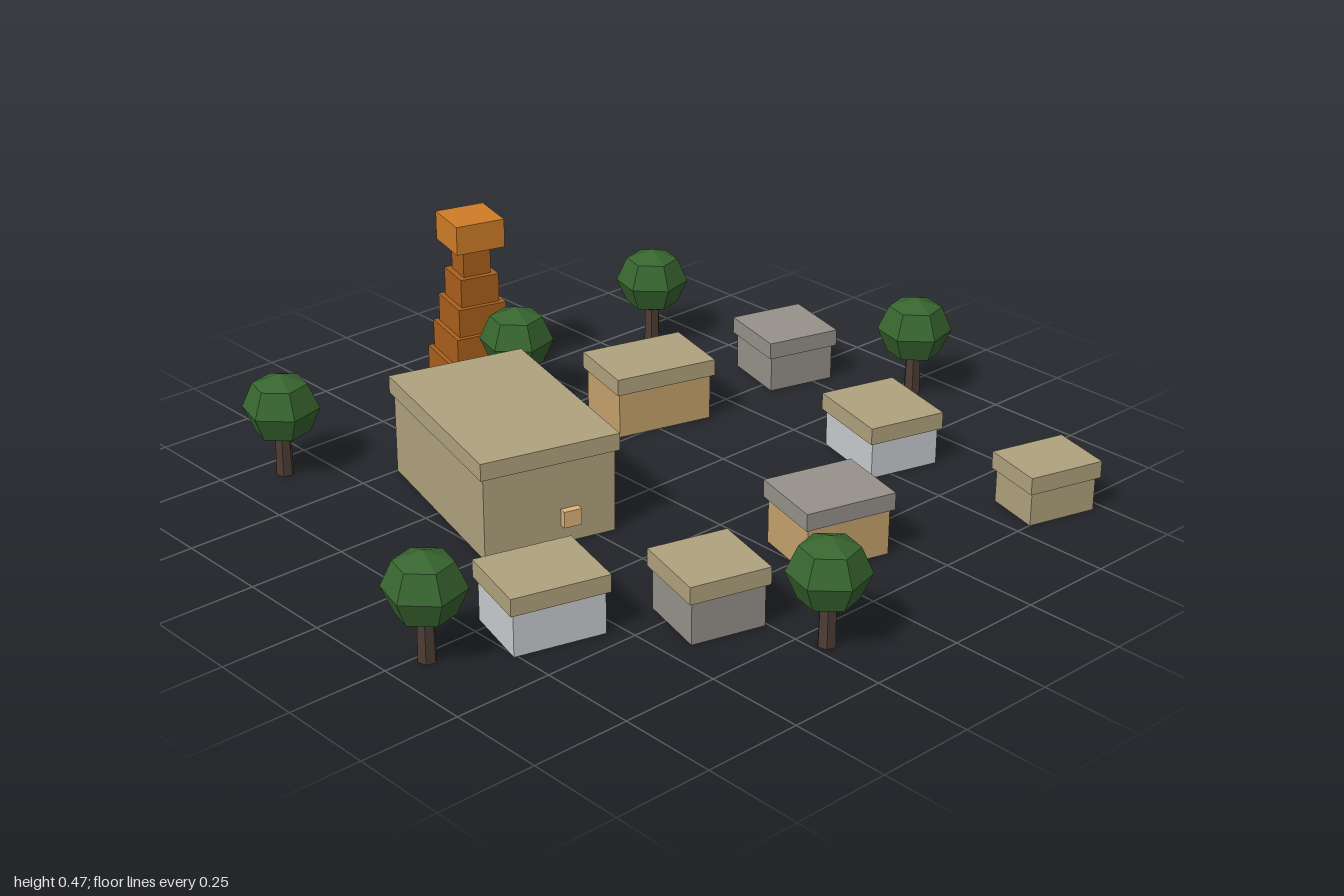
import * as THREE from 'three';

const TURN = -0.26; // every building shares this heading

const mat = (color) => new THREE.MeshStandardMaterial({ color, flatShading: true });
const M = {
  tan: mat(0xb0a27e),
  grey: mat(0x96918a),
  ochre: mat(0xc4a26c),
  pale: mat(0xc8ccd0),
  window: mat(0xdcb478),
  tower: mat(0xaa601c),
  towerTop: mat(0xd07c28),
  leaf: mat(0x37652f),
  bark: mat(0x4d3d33),
};

function box(parent, name, material, w, h, d, x, y, z) {
  const mesh = new THREE.Mesh(new THREE.BoxGeometry(w, h, d), material);
  mesh.name = name;
  mesh.position.set(x, y, z);
  parent.add(mesh);
  return mesh;
}

function placed(parent, name, x, z, turn) {
  const g = new THREE.Group();
  g.name = name;
  g.position.set(x, 0, z);
  g.rotation.y = turn;
  parent.add(g);
  return g;
}

// Walls with a slightly overhanging slab roof; w and d are the roof size
function house(parent, name, x, z, w, d, top, wall, roof) {
  const slab = 0.044, inset = 0.018;
  const g = placed(parent, name, x, z, TURN);
  box(g, 'walls', wall, w - inset, top - slab, d - inset, 0, (top - slab) / 2, 0);
  box(g, 'roof', roof, w, slab, d, 0, top - slab / 2, 0);
  return g;
}

function tree(parent, x, z) {
  const g = placed(parent, 'tree', x, z, -TURN);
  const trunk = new THREE.Mesh(new THREE.CylinderGeometry(0.02, 0.023, 0.12, 6), M.bark);
  trunk.name = 'trunk';
  trunk.position.y = 0.06;
  const crown = new THREE.Mesh(new THREE.SphereGeometry(0.097, 6, 4), M.leaf);
  crown.name = 'crown';
  crown.scale.y = 0.93;
  crown.position.y = 0.181;
  g.add(trunk, crown);
}

export function createModel() {
  const model = new THREE.Group();
  model.name = 'village';

  // Large hall with three projecting windows
  const hall = house(model, 'hall', -0.298, -0.2, 0.357, 0.548, 0.257, M.tan, M.tan);
  box(hall, 'frontWindow', M.window, 0.046, 0.042, 0.03, 0.05, 0.068, 0.269);
  for (const z of [0.057, 0.166]) {
    box(hall, 'sideWindow', M.window, 0.03, 0.042, 0.046, 0.173, 0.068, z);
  }

  // Small houses: x, z, width, depth, height, walls, roof
  const houses = [
    [-0.626, 0.333, 0.243, 0.203, 0.151, M.pale, M.tan],
    [-0.324, 0.55, 0.204, 0.203, 0.151, M.grey, M.tan],
    [0.107, 0.502, 0.238, 0.2, 0.162, M.ochre, M.grey],
    [0.565, 0.243, 0.207, 0.236, 0.141, M.pale, M.tan],
    [0.65, 0.704, 0.202, 0.165, 0.132, M.tan, M.tan],
    [0.289, -0.321, 0.279, 0.2, 0.166, M.ochre, M.tan],
    [0.737, -0.273, 0.202, 0.201, 0.141, M.grey, M.grey],
  ];
  for (const h of houses) house(model, 'house', ...h);

  // Stepped tower with a wider, brighter head
  const tower = placed(model, 'tower', 0.098, -0.805, TURN);
  const step = 0.0775;
  [0.185, 0.16, 0.135, 0.108, 0.077].forEach((w, i) => {
    box(tower, 'towerTier', M.tower, w, step, w, 0, step * (i + 0.5), 0);
  });
  box(tower, 'towerHead', M.towerTop, 0.135, step, 0.135, 0, step * 5.5, 0);

  // Trees around the edge
  const trees = [
    [-0.608, -0.677], [0.085, -0.608], [0.616, -0.667],
    [0.898, 0.045], [-0.904, 0.275], [-0.216, 0.813],
  ];
  for (const [x, z] of trees) tree(model, x, z);

  return model;
}
